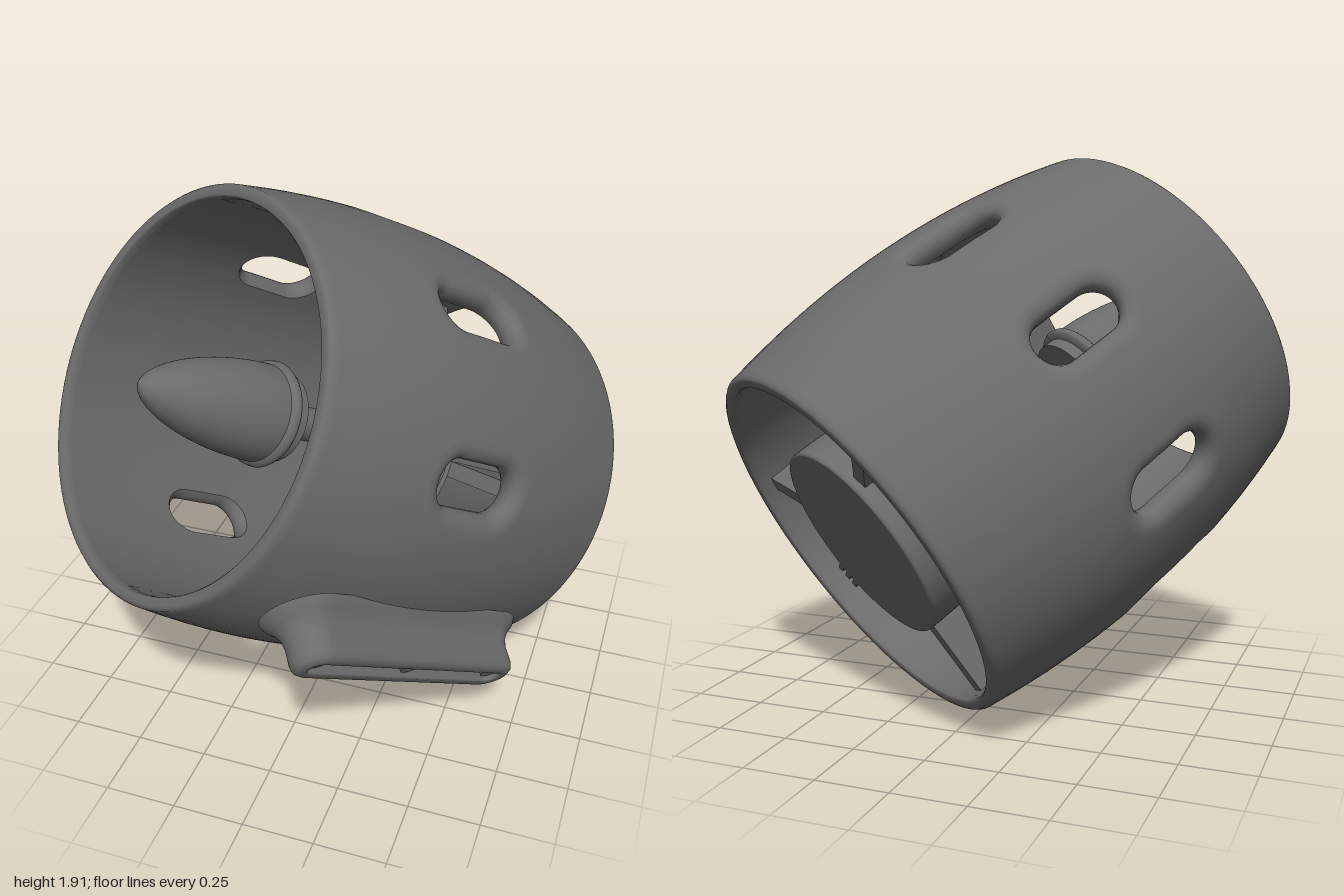
import * as THREE from 'three';
import { mergeGeometries, mergeVertices } from 'three/addons/utils/BufferGeometryUtils.js';

// Ducted fan housing. Local frame: z = duct axis, x = direction of the mounting rail.
const HALF = 0.73, END = 0.70, PITCH = Math.PI / 4, MID = 0.75;
const outerRadius = (s) => 0.685 + 0.082 * (1 - (s / HALF) ** 2);
const innerRadius = (s) => 0.64 + 0.035 * (1 - (s / HALF) ** 2);
const darkGrey = new THREE.MeshStandardMaterial({ color: 0x6b6b6b, side: THREE.DoubleSide });

function add(parent, name, geometry) {
  const mesh = new THREE.Mesh(geometry, darkGrey);
  mesh.name = name;
  parent.add(mesh);
  return mesh;
}

// Border of one duct sector, unrolled: u runs around the duct, s along it.
function sectorBorder() {
  const w = MID * PITCH / 2, pts = [], nw = 12, ns = 36;
  const side = (n, u0, s0, u1, s1) => {
    for (let i = 0; i < n; i++) pts.push([u0 + (u1 - u0) * i / n, s0 + (s1 - s0) * i / n]);
  };
  side(nw, -w, -END, w, -END);
  side(ns, w, -END, w, END);
  side(nw, w, END, -w, END);
  side(ns, -w, END, -w, -END);
  return pts;
}
const border = sectorBorder();

// Nearest point on a rounded slot outline of half length hl and half width w.
function slotPoint([u, s], hl, w, shift) {
  const c = THREE.MathUtils.clamp(s - shift, -hl, hl) + shift;
  const d = Math.hypot(u, s - c);
  return [u / d * w, c + (s - c) / d * w];
}

// Skin between successive rings; place(borderPoint, stop) gives [x, y, z].
function loft(stops, place) {
  const pos = [], index = [], n = border.length;
  stops.forEach((stop, i) => border.forEach((p, j) => {
    pos.push(...place(p, stop));
    if (i === 0) return;
    const a = (i - 1) * n + j, b = (i - 1) * n + (j + 1) % n;
    index.push(a, b, b + n, a, b + n, a + n);
  }));
  const g = new THREE.BufferGeometry();
  g.setAttribute('position', new THREE.Float32BufferAttribute(pos, 3));
  g.setIndex(index);
  return g;
}

function smooth(list) {
  const g = mergeVertices(mergeGeometries(list), 1e-4);
  g.computeVertexNormals();
  return g;
}

// One sector of wall: stop = [blend to border, widening of slot, depth through wall].
function wallSector(angle, stops, open) {
  return loft(stops, (p, [t, grow, f]) => {
    const q = open ? slotPoint(p, 0.09, 0.082 + grow, 0.07) : [0, p[1] * 0.5];
    const u = q[0] + (p[0] - q[0]) * t, s = q[1] + (p[1] - q[1]) * t;
    const r = innerRadius(s) + (outerRadius(s) - innerRadius(s)) * f, a = angle + u / MID;
    return [r * Math.cos(a), r * Math.sin(a), s];
  });
}

// Profile of [radius, s] pairs turned about the duct axis.
function turned(profile, segments = 96) {
  return new THREE.LatheGeometry(profile.map(([r, s]) => new THREE.Vector2(r, s)), segments).rotateX(Math.PI / 2);
}

// Join turned pieces so that the edges between them stay sharp.
const turnedParts = (...profiles) => mergeGeometries(profiles.map((p) => turned(p)));

export function createModel() {
  const root = new THREE.Group();
  root.name = 'ductedFan';
  const fan = new THREE.Group();
  fan.name = 'tiltedFan';
  const h = Math.SQRT1_2;
  fan.quaternion.setFromRotationMatrix(new THREE.Matrix4().makeBasis(
    new THREE.Vector3(0.5, -0.5, h), new THREE.Vector3(h, h, 0), new THREE.Vector3(-0.5, 0.5, h)));
  fan.position.y = 0.962;
  root.add(fan);

  // Duct wall: seven slotted sectors and a closed one under the rail
  const blends = [1, 0.8, 0.6, 0.4, 0.2, 0];
  const outer = [], inner = [];
  const lip = [[0, 0.045, 0.985], [0, 0.028, 0.92], [0, 0.012, 0.8], [0, 0.003, 0.64], [0, 0, 0.45],
    [0, 0.004, 0.2], [0, 0.02, 0]];
  for (let i = 0; i < 8; i++) {
    const open = i > 0, a = i * PITCH;
    outer.push(wallSector(a, [...blends.map((t) => [t, 0.065, 1]), ...(open ? lip : [])], open));
    inner.push(wallSector(a, [...blends].reverse().map((t) => [t, 0.02, 0]), open));
  }
  add(fan, 'ductOuterWall', smooth(outer));
  add(fan, 'ductInnerWall', smooth(inner));

  // Rounded rims closing the wall at both ends
  for (const k of [1, -1]) {
    const R = outerRadius(END), r0 = innerRadius(END);
    const rim = [[R, END], [R - 0.004, HALF - 0.012], [R - 0.012, HALF - 0.003], [R - 0.02, HALF],
      [r0 + 0.006, HALF], [r0, HALF - 0.008], [r0, END]].map(([r, s]) => [r, s * k]);
    add(fan, k > 0 ? 'frontRim' : 'rearRim', turned(k > 0 ? rim : rim.reverse()));
  }

  // Mounting rail: flared foot, rounded top, long groove; stop = [widening, radius]
  const rail = [[0.062, 0.735], [0.048, 0.758], [0.026, 0.774], [0.008, 0.80], [0, 0.83], [0, 0.89],
    [-0.006, 0.908], [-0.022, 0.92], [-0.046, 0.92], [-0.05, 0.915], [-0.052, 0.85], [-0.084, 0.85]];
  add(fan, 'mountingRail', smooth([loft(rail, (p, [grow, r]) => {
    const [u, s] = slotPoint(p, 0.42, 0.085 + grow, -0.01);
    return [r, u, s];
  })]));
  for (const s of [-0.43, -0.01, 0.41]) {
    const pin = add(fan, 'railPin', new THREE.CylinderGeometry(0.03, 0.03, 0.08, 24).rotateZ(Math.PI / 2));
    pin.position.set(0.862, 0, s);
  }

  // Motor hub
  add(fan, 'motorHub', turnedParts(
    [[0, -0.70], [0.362, -0.70]],
    [[0.362, -0.70], [0.368, -0.698], [0.37, -0.69]],
    [[0.37, -0.69], [0.37, -0.21]],
    [[0.37, -0.21], [0.36, -0.2]],
    [[0.36, -0.2], [0, -0.2]]));
  add(fan, 'shaft', turned([[0.06, -0.21], [0.06, 0.32]], 32));

  // Spinner: lipped base and blunt nose
  const nose = [];
  for (let i = 0; i <= 24; i++) {
    const t = Math.sin(i / 24 * Math.PI / 2);
    nose.push([0.168 * Math.max(0, 1 - t ** 1.8) ** 0.58, 0.39 + 0.49 * t]);
  }
  add(fan, 'spinner', turnedParts(
    [[0, 0.30], [0.155, 0.30]],
    [[0.155, 0.30], [0.155, 0.345]],
    [[0.155, 0.345], [0.178, 0.35], [0.184, 0.362], [0.18, 0.38], [0.168, 0.39]],
    nose));

  // Three stator struts
  for (let i = 0; i < 3; i++) {
    const a = PITCH + i * Math.PI * 2 / 3;
    const strut = add(fan, 'strut', new THREE.BoxGeometry(0.33, 0.055, 0.46));
    strut.position.set(0.52 * Math.cos(a), 0.52 * Math.sin(a), -0.44);
    strut.rotation.z = a;
  }

  // Three cable ribs on the hub, in line with the rail
  for (const k of [-1, 0, 1]) {
    const rib = add(fan, 'cableRib', new THREE.BoxGeometry(0.07, 0.022, 0.4));
    rib.position.set(0.375, k * 0.038, -0.5);
  }
  return root;
}
